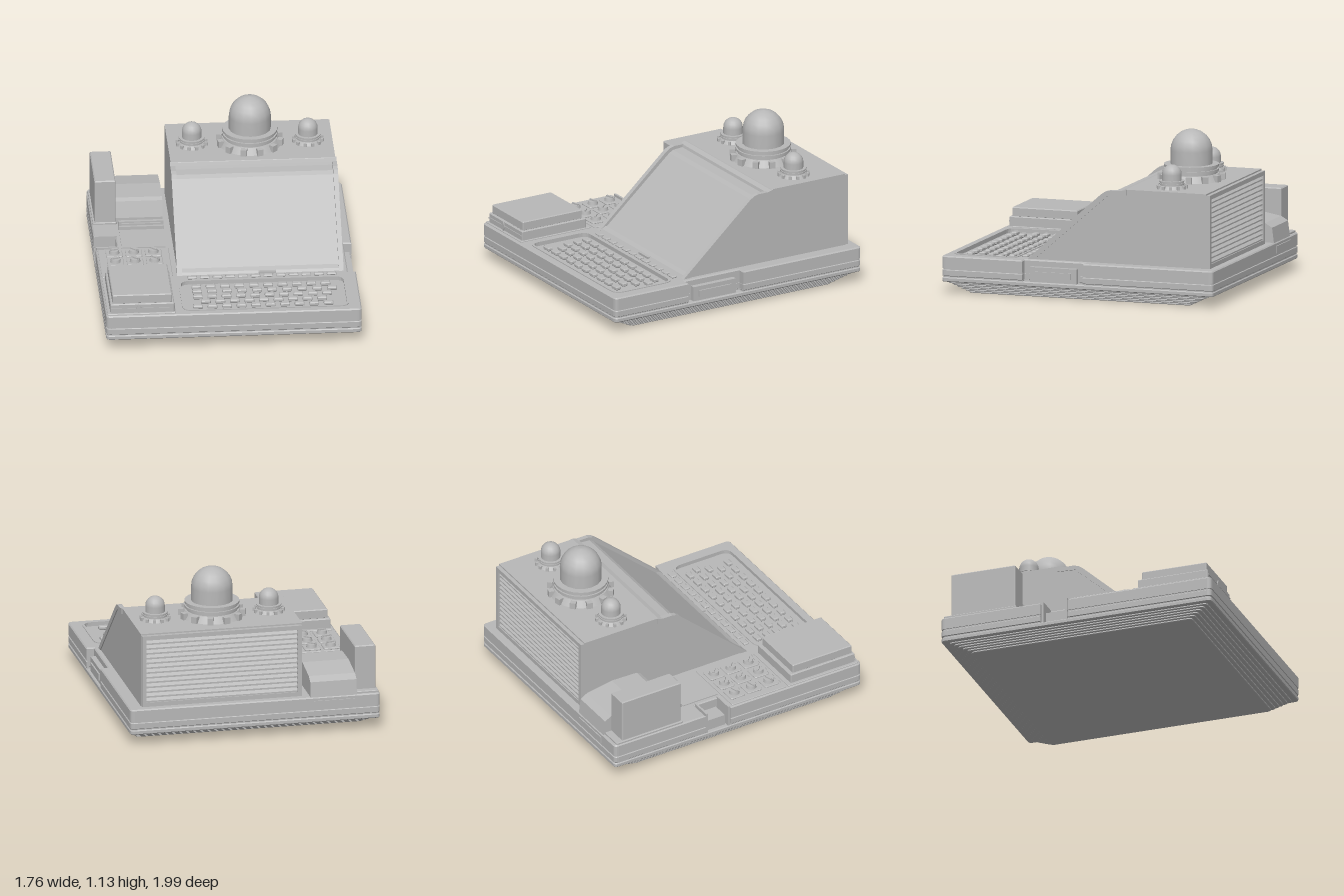
import * as THREE from 'three';

const grey = new THREE.MeshStandardMaterial({ color: 0xb8b8b8 });
grey.name = 'grey';

export function createModel() {
  const model = new THREE.Group();
  model.name = 'console';

  const add = (name, geo, parent = model) => {
    const m = new THREE.Mesh(geo, grey);
    m.name = name;
    parent.add(m);
    return m;
  };
  // box from min/max extents
  const box = (name, x0, x1, y0, y1, z0, z1, parent) => {
    const m = add(name, new THREE.BoxGeometry(x1 - x0, y1 - y0, z1 - z0), parent);
    m.position.set((x0 + x1) / 2, (y0 + y1) / 2, (z0 + z1) / 2);
    return m;
  };
  // plan outline (x, z) with rounded corners
  const rounded = (x0, x1, z0, z1, r, Type = THREE.Shape) => {
    const s = new Type(), a = -z1, b = -z0;
    s.moveTo(x0 + r, a);
    s.lineTo(x1 - r, a); s.quadraticCurveTo(x1, a, x1, a + r);
    s.lineTo(x1, b - r); s.quadraticCurveTo(x1, b, x1 - r, b);
    s.lineTo(x0 + r, b); s.quadraticCurveTo(x0, b, x0, b - r);
    s.lineTo(x0, a + r); s.quadraticCurveTo(x0, a, x0 + r, a);
    return s;
  };
  // upright extrusion of a plan outline
  const slab = (name, shape, y0, y1, bevel = 0, parent) => {
    const g = new THREE.ExtrudeGeometry(shape, {
      depth: y1 - y0 - 2 * bevel, bevelEnabled: bevel > 0, bevelSize: bevel,
      bevelThickness: bevel, bevelOffset: -bevel, bevelSegments: 1, curveSegments: 4,
    });
    g.rotateX(-Math.PI / 2).translate(0, y0 + bevel, 0);
    return add(name, g, parent);
  };
  // side profile of (z, y) points swept across x
  const profile = (name, pts, x0, x1, parent) => {
    const s = new THREE.Shape(pts.map(p => new THREE.Vector2(p[0], p[1])));
    const g = new THREE.ExtrudeGeometry(s, { depth: x1 - x0, bevelEnabled: false });
    g.rotateY(-Math.PI / 2).translate(x1, 0, 0);
    return add(name, g, parent);
  };
  // plan outline with side notches for the handles
  const notched = (i) => {
    const r = 0.03, x = 0.88 - i, f = 0.99 - i;
    const s = new THREE.Shape();
    s.moveTo(-x + r, -f); s.lineTo(x - r, -f); s.quadraticCurveTo(x, -f, x, -f + r);
    for (const [px, pz] of [[x, 0.4], [0.825, 0.4], [0.825, -0.04], [x, -0.04]]) s.lineTo(px, -pz);
    s.lineTo(x, f - r); s.quadraticCurveTo(x, f, x - r, f);
    s.lineTo(-x + r, f); s.quadraticCurveTo(-x, f, -x, f - r);
    for (const [px, pz] of [[-x, -0.26], [-0.73, -0.26], [-0.73, -0.06], [-x, -0.06]]) s.lineTo(px, -pz);
    s.lineTo(-x, -f + r); s.quadraticCurveTo(-x, -f, -x + r, -f);
    return s;
  };

  // stepped skirt under the base
  for (let i = 0; i < 6; i++) {
    const t = i / 5, x = 0.8 + 0.055 * t, y = i * 0.0135;
    slab('skirtStep', rounded(-x, x, -0.8 - 0.14 * t, 0.82 + 0.13 * t, 0.03), y, y + 0.0137, 0.004);
  }

  // base, banded by shallow grooves, with a recess for the keyboard
  slab('baseBottom', rounded(-0.88, 0.88, -0.99, 0.99, 0.03), 0.08, 0.112, 0.006);
  slab('baseBand', notched(0.006), 0.11, 0.122);
  slab('baseBand', notched(0), 0.12, 0.165, 0.004);
  slab('baseBand', notched(0.006), 0.163, 0.177);
  slab('baseMiddle', notched(0), 0.175, 0.235);
  const deck = notched(0);
  deck.holes.push(rounded(-0.34, 0.79, 0.48, 0.93, 0.06, THREE.Path));
  slab('deck', deck, 0.225, 0.26, 0.008);

  // handles in the side notches
  box('rightHandle', 0.82, 0.862, 0.11, 0.215, 0.01, 0.35);
  box('rightHandleGrip', 0.85, 0.872, 0.14, 0.185, 0.05, 0.31);
  box('leftHandle', -0.85, -0.73, 0.11, 0.19, -0.23, -0.09);
  for (const z of [-0.255, -0.08]) box('leftHandleCheek', -0.875, -0.72, 0.11, 0.268, z, z + 0.015);

  // sloping monitor housing
  const housing = new THREE.Group();
  housing.name = 'monitor';
  model.add(housing);
  profile('housing', [[-0.91, 0.25], [0.365, 0.25], [0.35, 0.27], [-0.17, 0.725], [-0.2, 0.742],
    [-0.3, 0.75], [-0.32, 0.78], [-0.91, 0.78]], -0.345, 0.79, housing);
  const rail = [[0.345, 0.255], [0.395, 0.255], [-0.145, 0.738], [-0.175, 0.758], [-0.21, 0.768],
    [-0.3, 0.768], [-0.315, 0.775], [-0.325, 0.74], [-0.2, 0.735]];
  profile('screenRail', rail, -0.35, -0.315, housing);
  profile('screenRail', rail, 0.765, 0.797, housing);
  profile('screenTopRail', [[-0.33, 0.74], [-0.27, 0.74], [-0.28, 0.766], [-0.33, 0.78]], -0.35, 0.797, housing);
  profile('screenBottomRail', [[0.33, 0.255], [0.39, 0.255], [0.372, 0.275], [0.34, 0.29]], -0.32, 0.77, housing);
  box('screenLatch', 0.21, 0.33, 0.26, 0.275, 0.368, 0.395, housing);

  // louvred vent on the back
  box('ventFrame', -0.34, -0.31, 0.26, 0.77, -0.937, -0.9, housing);
  box('ventFrame', 0.755, 0.785, 0.26, 0.77, -0.937, -0.9, housing);
  box('ventFrame', -0.34, 0.785, 0.74, 0.77, -0.937, -0.9, housing);
  box('ventFrame', -0.34, 0.785, 0.26, 0.29, -0.937, -0.9, housing);
  for (let i = 0; i < 13; i++) {
    const y = 0.29 + i * 0.0347;
    profile('ventSlat', [[-0.93, y], [-0.905, y + 0.008], [-0.905, y + 0.03], [-0.93, y + 0.01]], -0.31, 0.755, housing);
  }

  // lamps with toothed collars
  const lamp = (name, x, r, top, collarR, collarTop, toothR, toothW) => {
    const g = new THREE.Group();
    g.name = name;
    g.position.set(x, 0.78, -0.6);
    model.add(g);
    const h = top - 0.78, c = collarTop - 0.78;
    const pts = [new THREE.Vector2(r, 0)];
    for (let i = 0; i <= 6; i++) {
      const a = i / 6 * Math.PI / 2;
      pts.push(new THREE.Vector2(r * Math.cos(a), h - r + r * Math.sin(a)));
    }
    add('dome', new THREE.LatheGeometry(pts, 16), g);
    const base = add('collarBase', new THREE.CylinderGeometry(collarR, toothR * 0.94, c * 0.42, 24), g);
    base.position.y = c * 0.21;
    for (let i = 0; i < 4; i++) {
      const rr = collarR * (i % 2 ? 1 : 0.94), t = c * 0.145;
      add('collarRing', new THREE.CylinderGeometry(rr, rr, t, 24), g).position.y = c * 0.42 + t * (i + 0.5);
    }
    for (let i = 0; i < 12; i++) {
      const pivot = new THREE.Group();
      pivot.name = 'toothPivot';
      pivot.rotation.y = (i + 0.5) * Math.PI / 6;
      g.add(pivot);
      box('tooth', toothR * 0.84, toothR, 0, c * 0.42, -toothW / 2, toothW / 2, pivot);
    }
  };
  lamp('mainLamp', 0.22, 0.145, 1.13, 0.19, 0.89, 0.232, 0.042);
  lamp('sideLamp', -0.18, 0.068, 0.945, 0.088, 0.835, 0.11, 0.02);
  lamp('sideLamp', 0.62, 0.068, 0.945, 0.088, 0.835, 0.11, 0.02);

  // keyboard
  const rim = rounded(-0.35, 0.8, 0.47, 0.94, 0.07);
  rim.holes.push(rounded(-0.335, 0.785, 0.485, 0.925, 0.06, THREE.Path));
  slab('keyboardRim', rim, 0.25, 0.266);
  const keyRow = (z, x0, x1, n, y, h) => {
    for (let i = 0; i < n; i++) {
      const x = x0 + (x1 - x0) * i / (n - 1);
      slab('key', rounded(x - 0.033, x + 0.033, z - 0.02, z + 0.02, 0.008), y, y + h, 0.007);
    }
  };
  keyRow(0.43, -0.25, 0.71, 12, 0.255, 0.02);
  keyRow(0.545, -0.23, 0.66, 10, 0.234, 0.028);
  keyRow(0.62, -0.23, 0.7, 10, 0.234, 0.028);
  keyRow(0.697, -0.23, 0.66, 10, 0.234, 0.028);
  keyRow(0.773, -0.18, 0.62, 9, 0.234, 0.028);
  keyRow(0.85, -0.24, 0.66, 10, 0.234, 0.028);

  // dial panel
  slab('dialPanel', rounded(-0.868, -0.38, -0.04, 0.39, 0.01), 0.255, 0.268, 0.004);
  for (const x of [-0.76, -0.625, -0.49]) for (const z of [0.04, 0.175, 0.315]) {
    slab('dialPlate', rounded(x - 0.057, x + 0.057, z - 0.057, z + 0.057, 0.015), 0.265, 0.278, 0.004);
    add('dial', new THREE.CylinderGeometry(0.032, 0.037, 0.024, 16)).position.set(x, 0.289, z);
    const pointer = add('dialPointer', new THREE.BoxGeometry(0.055, 0.012, 0.012));
    pointer.position.set(x, 0.304, z);
    pointer.rotation.y = x < -0.7 ? 0.25 : -0.75;
  }

  // stacked box on the front left
  slab('trayPlinth', rounded(-0.87, -0.4, 0.41, 0.97, 0.01), 0.255, 0.268, 0.004);
  slab('trayLower', rounded(-0.85, -0.41, 0.44, 0.955, 0.008), 0.26, 0.335, 0.006);
  slab('trayUpper', rounded(-0.835, -0.425, 0.465, 0.94, 0.008), 0.33, 0.397, 0.006);
  box('traySeam', -0.845, -0.415, 0.296, 0.304, 0.95, 0.96);
  const emblem = add('trayCatch', new THREE.CylinderGeometry(0.036, 0.036, 0.012, 4));
  emblem.rotation.x = Math.PI / 2;
  emblem.scale.x = 0.6;
  emblem.position.set(-0.655, 0.298, 0.957);

  // tall unit and low hooded unit on the back left
  slab('tallUnitPlinth', rounded(-0.872, -0.71, -0.97, -0.44, 0.01), 0.255, 0.275, 0.004);
  slab('tallUnit', rounded(-0.86, -0.715, -0.92, -0.45, 0.008), 0.26, 0.588, 0.007);
  profile('hoodedUnit', [[-0.985, 0.25], [-0.455, 0.25], [-0.455, 0.3], [-0.49, 0.41], [-0.52, 0.425],
    [-0.72, 0.43], [-0.92, 0.395], [-0.97, 0.365]], -0.715, -0.39);
  box('backSlot', -0.7, -0.41, 0.185, 0.235, -0.997, -0.98);

  // slot and smooth panel ahead of the hooded unit
  box('slotBack', -0.7, -0.39, 0.255, 0.3, -0.42, -0.395);
  box('slotFront', -0.7, -0.39, 0.255, 0.285, -0.365, -0.345);
  box('slotBar', -0.68, -0.41, 0.255, 0.295, -0.385, -0.372);
  box('smoothPanel', -0.7, -0.4, 0.255, 0.267, -0.335, -0.06);

  return model;
}
